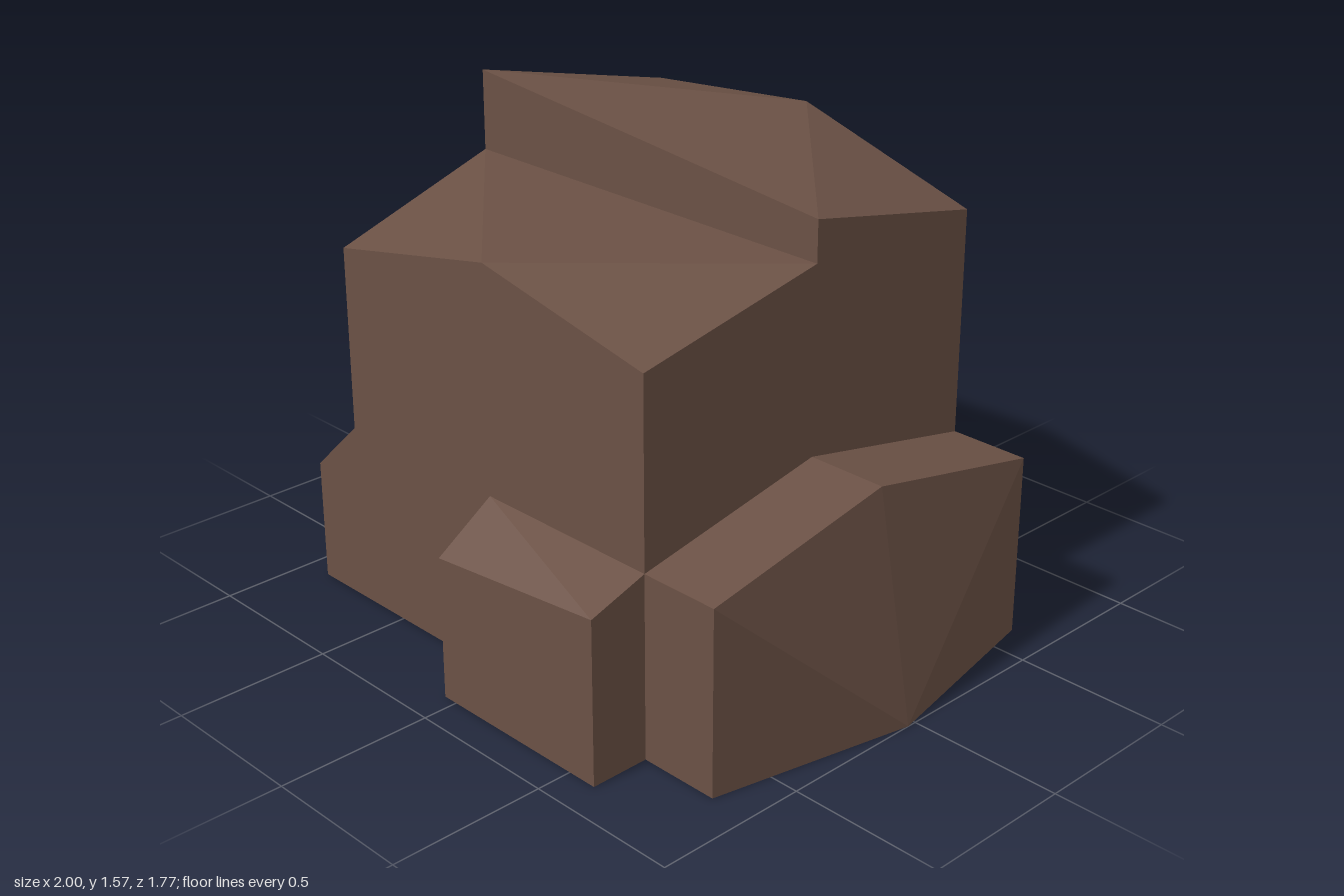
import * as THREE from 'three';
import { ConvexGeometry } from 'three/addons/geometries/ConvexGeometry.js';

const rock = new THREE.MeshStandardMaterial({ color: 0x6b5145 });
rock.name = 'brownRock';

// Faceted chunk of rock: each column [x, z, top] runs from the ground to its top;
// a column may lean, with its foot at [footX, footZ].
function chunk(name, columns) {
  const points = [];
  for (const [x, z, top, footX = x, footZ = z] of columns) {
    points.push(new THREE.Vector3(x, top, z), new THREE.Vector3(footX, 0, footZ));
  }
  const mesh = new THREE.Mesh(new ConvexGeometry(points), rock);
  mesh.name = name;
  return mesh;
}

export function createModel() {
  const group = new THREE.Group();
  group.name = 'boulder';

  group.add(
    // Lower front half of the tall block
    chunk('frontTower', [
      [-0.7, 0.69, 1.18], [-0.05, 0.69, 1.31], [0.6, 0.69, 1.18],
      [-0.83, 0.03, 1.31], [-0.05, 0.03, 1.31], [0.6, 0.03, 1.31],
    ]),
    // Taller rear half
    chunk('rearTower', [
      [-0.83, 0.03, 1.57], [-0.05, 0.03, 1.5], [0.6, 0.03, 1.44],
      [-0.7, -0.62, 1.44], [-0.05, -0.62, 1.5], [0.6, -0.62, 1.31],
    ]),
    // Ridged slab on the left with a flared foot
    chunk('leftSlab', [
      [0.6, -0.62, 0.59], [0.6, 0.03, 0.72], [0.6, 0.69, 0.59],
      [0.865, -0.62, 0.59], [0.865, 0.03, 0.72, 1.0, 0.03], [0.865, 0.69, 0.59],
    ]),
    // Small step at the front
    chunk('frontStep', [
      [-0.05, 0.69, 0.59], [0.6, 0.69, 0.59],
      [-0.05, 0.885, 0.46], [0.6, 0.885, 0.525],
    ]),
    // Right shoulder, chamfered at the front corner
    chunk('rightShoulder', [
      [-0.9, 0.69, 0.4], [-0.7, 0.69, 0.59],
      [-0.87, -0.04, 0.59], [-0.7, -0.04, 0.59],
    ]),
    // Undercut block at the rear right
    chunk('rearRightBlock', [
      [-0.84, -0.885, 0.59, -0.84, -0.76], [-0.97, -0.765, 0.46, -0.905, -0.76],
      [-1.0, -0.04, 0.46, -0.935, -0.04], [-0.87, -0.04, 0.59],
      [-0.7, -0.04, 0.59], [-0.7, -0.62, 0.59],
    ]),
    // Sloping ledge along the back, in two spans
    chunk('rearLedgeRight', [
      [-0.84, -0.885, 0.59, -0.84, -0.76], [-0.7, -0.62, 0.59],
      [-0.12, -0.62, 0.59], [-0.12, -0.785, 0.46],
    ]),
    chunk('rearLedgeLeft', [
      [-0.12, -0.62, 0.59], [-0.12, -0.785, 0.46],
      [0.6, -0.62, 0.59], [0.6, -0.81, 0.46],
    ]),
  );
  return group;
}
